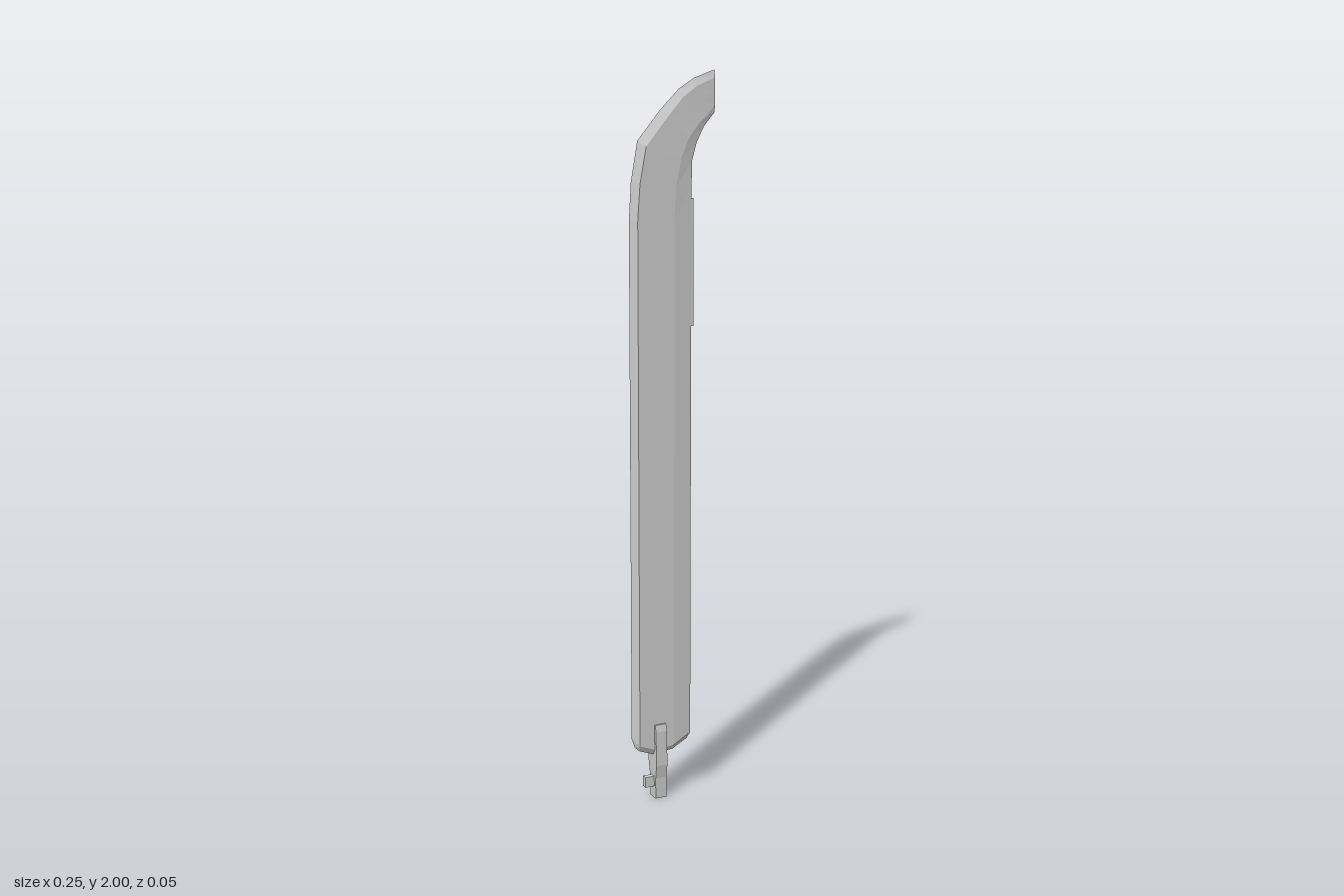
import * as THREE from 'three';

const material = new THREE.MeshStandardMaterial({ color: 0xcccccc, flatShading: true, side: THREE.DoubleSide });

// Blade sections from root to tip: x, y of leading edge, bevel, middle, crease
// and trailing edge, followed by a thickness factor
const sections = [
  [-0.115, 0.157, -0.102, 0.146, -0.06, 0.13, 0, 0.135, 0.046, 0.157, 0.35],
  [-0.125, 0.185, -0.107, 0.165, -0.06, 0.147, 0, 0.15, 0.055, 0.175, 1],
  [-0.125, 1.62, -0.107, 1.62, -0.055, 1.62, 0, 1.62, 0.055, 1.62, 1],
  [-0.119, 1.72, -0.1, 1.715, -0.05, 1.7, 0.005, 1.7, 0.055, 1.7, 1],
  [-0.1, 1.825, -0.082, 1.81, -0.035, 1.79, 0.02, 1.775, 0.057, 1.77, 1],
  [-0.035, 1.9, -0.022, 1.88, 0.012, 1.85, 0.042, 1.825, 0.07, 1.815, 0.95],
  [0.02, 1.953, 0.028, 1.933, 0.05, 1.895, 0.075, 1.865, 0.092, 1.855, 0.75],
  [0.065, 1.98, 0.07, 1.96, 0.082, 1.92, 0.1, 1.883, 0.108, 1.873, 0.55],
  [0.125, 2.0, 0.125, 1.98, 0.125, 1.945, 0.125, 1.91, 0.125, 1.89, 0.33],
];

function bladeGeometry() {
  // Closed loop: front side from leading to trailing edge, then back again
  const loop = [[0, 0], [1, 0.015], [2, 0.015], [3, 0.015], [4, 0.007],
    [4, -0.007], [3, -0.015], [2, -0.015], [1, -0.015]];
  const n = loop.length, positions = [], index = [];
  for (const s of sections) {
    for (const [k, z] of loop) positions.push(s[2 * k], s[2 * k + 1], z * s[10]);
  }
  for (let r = 0; r < sections.length - 1; r++) {
    for (let i = 0; i < n; i++) {
      const a = r * n + i, b = r * n + (i + 1) % n;
      index.push(a, b, b + n, a, b + n, a + n);
    }
  }
  // End caps
  const top = (sections.length - 1) * n;
  for (let i = 1; i < n - 1; i++) {
    index.push(0, i + 1, i, top, top + i, top + i + 1);
  }
  const g = new THREE.BufferGeometry();
  g.setAttribute('position', new THREE.Float32BufferAttribute(positions, 3));
  g.setIndex(index);
  g.computeVertexNormals();
  return g;
}

// Outline in the z-y plane, extruded along x
function stemGeometry() {
  const half = [[0.016, 0], [0.017, 0.06], [0.024, 0.1], [0.024, 0.2], [0.02, 0.22]];
  const pts = [...half, ...half.map(([z, y]) => [-z, y]).reverse()];
  const shape = new THREE.Shape(pts.map(([z, y]) => new THREE.Vector2(z, y)));
  const g = new THREE.ExtrudeGeometry(shape, { depth: 0.034, bevelEnabled: false });
  g.translate(0, 0, -0.017);
  g.rotateY(Math.PI / 2);
  // Lean slightly toward the trailing side at the foot
  const p = g.attributes.position;
  for (let i = 0; i < p.count; i++) p.setX(i, p.getX(i) - 0.043 - 0.015 * (p.getY(i) - 0.1));
  g.computeVertexNormals();
  return g;
}

export function createModel() {
  const model = new THREE.Group();
  model.name = 'bladeAssembly';
  const add = (name, geometry, x = 0, y = 0, z = 0) => {
    const mesh = new THREE.Mesh(geometry, material);
    mesh.name = name;
    mesh.position.set(x, y, z);
    model.add(mesh);
  };

  add('blade', bladeGeometry());
  add('trimTab', new THREE.BoxGeometry(0.012, 0.34, 0.008), 0.057, 1.5, 0);
  add('rootFork', stemGeometry());
  // Small pin on the leading side of the root
  add('pitchPin', new THREE.BoxGeometry(0.028, 0.03, 0.016), -0.072, 0.05, 0);
  return model;
}
